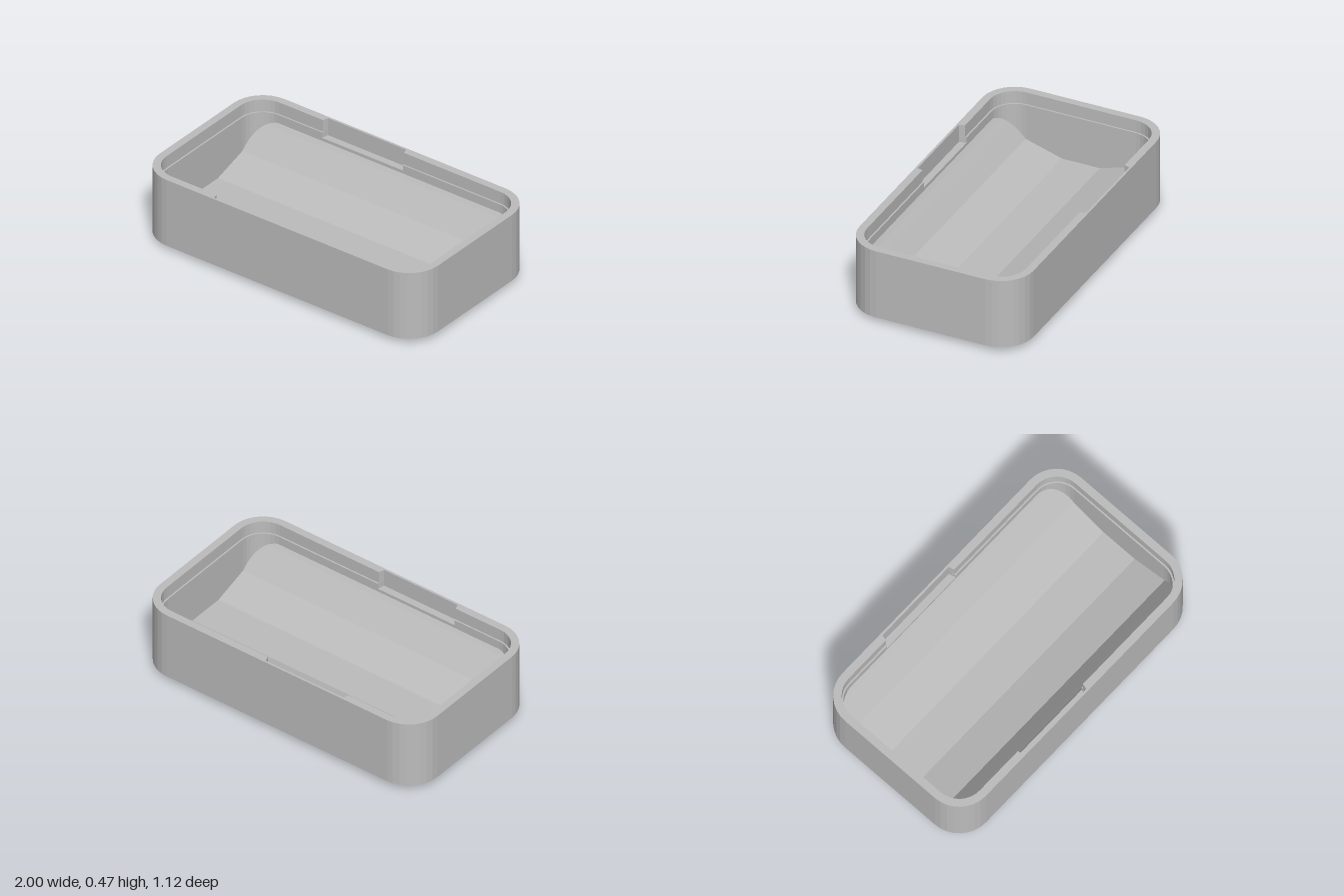
import * as THREE from 'three';

const HX = 0.9975, HZ = 0.552, R = 0.205;

// Rounded rectangle outline, inset from the outer wall; optional notches in the long sides
function outline(inset, notchInset) {
  const hx = HX - inset, hz = HZ - inset, r = R - inset, pts = [];
  const add = (x, y) => pts.push(new THREE.Vector2(x, y));
  const corners = [[1, 1], [-1, 1], [-1, -1], [1, -1]];
  corners.forEach(([sx, sy], c) => {
    for (let i = 0; i <= 8; i++) {
      const a = (c + i / 8) * Math.PI / 2;
      add(sx * (hx - r) + r * Math.cos(a), sy * (hz - r) + r * Math.sin(a));
    }
    if (notchInset === undefined) return;
    const n = HZ - notchInset;
    if (c === 0) { add(0.1, hz); add(0.09, n); add(-0.47, n); add(-0.48, hz); }
    if (c === 2) { add(-0.47, -hz); add(-0.46, -n); add(0.07, -n); add(0.08, -hz); }
  });
  return pts;
}

// Horizontal slab or ring between two heights
function slab(y0, y1, hole) {
  const shape = new THREE.Shape(outline(0));
  if (hole) shape.holes.push(new THREE.Path(hole));
  const g = new THREE.ExtrudeGeometry(shape, { depth: y1 - y0, bevelEnabled: false });
  return g.rotateX(-Math.PI / 2).translate(0, y0, 0);
}

// Faceted trough floor that follows the rounded inner corners
function troughFloor() {
  const inset = 0.054, hx = HX - inset, hz = HZ - inset, r = R - inset;
  const half = [[0.12, 0.1], [0.35, 0.17], [0.4, 0.228], [0.44, 0.275], [0.475, 0.315], [hz, 0.345]];
  const rows = [...half.map(([z, y]) => [-z, y]).reverse(), ...half];
  const pos = [], idx = [];
  rows.forEach(([z, y], i) => {
    const d = Math.max(0, Math.abs(z) - (hz - r));
    const x = hx - r + Math.sqrt(Math.max(0, r * r - d * d));
    pos.push(-x, y, z, x, y, z);
    if (i > 0) {
      const a = 2 * (i - 1);
      idx.push(a, a + 2, a + 1, a + 1, a + 2, a + 3);
    }
  });
  let g = new THREE.BufferGeometry();
  g.setAttribute('position', new THREE.Float32BufferAttribute(pos, 3));
  g.setIndex(idx);
  g = g.toNonIndexed();
  g.computeVertexNormals();
  return g;
}

export function createModel() {
  const model = new THREE.Group();
  model.name = 'tray';
  const grey = new THREE.MeshStandardMaterial({ color: 0xbcbcbc });
  grey.name = 'plainGrey';

  const body = new THREE.Group();
  body.name = 'trayBody';
  body.rotation.y = -0.007;
  model.add(body);
  const part = (name, geometry, parent = body) => {
    const mesh = new THREE.Mesh(geometry, grey);
    mesh.name = name;
    parent.add(mesh);
    return mesh;
  };

  // Base plate, walls with a small inner ledge, and the notched rim
  part('basePlate', slab(0.033, 0.06));
  part('lowerWall', slab(0.06, 0.36, outline(0.058)));
  part('ledgeWall', slab(0.36, 0.395, outline(0.058, 0.014)));
  part('rim', slab(0.395, 0.473, outline(0.048, 0.014)));
  part('troughFloor', troughFloor());

  // Staggered rows of conical feet
  const feet = new THREE.Group();
  feet.name = 'feet';
  model.add(feet);
  const footGeometry = new THREE.CylinderGeometry(0.035, 0.012, 0.035, 16);
  for (let row = 0; row < 7; row++) {
    for (let col = 0; col < 12; col++) {
      const foot = part('foot', footGeometry, feet);
      foot.position.set(-0.865 + col * 0.155 + (row % 2) * 0.0775, 0.0175, -0.44 + row * 0.135);
    }
  }
  return model;
}
